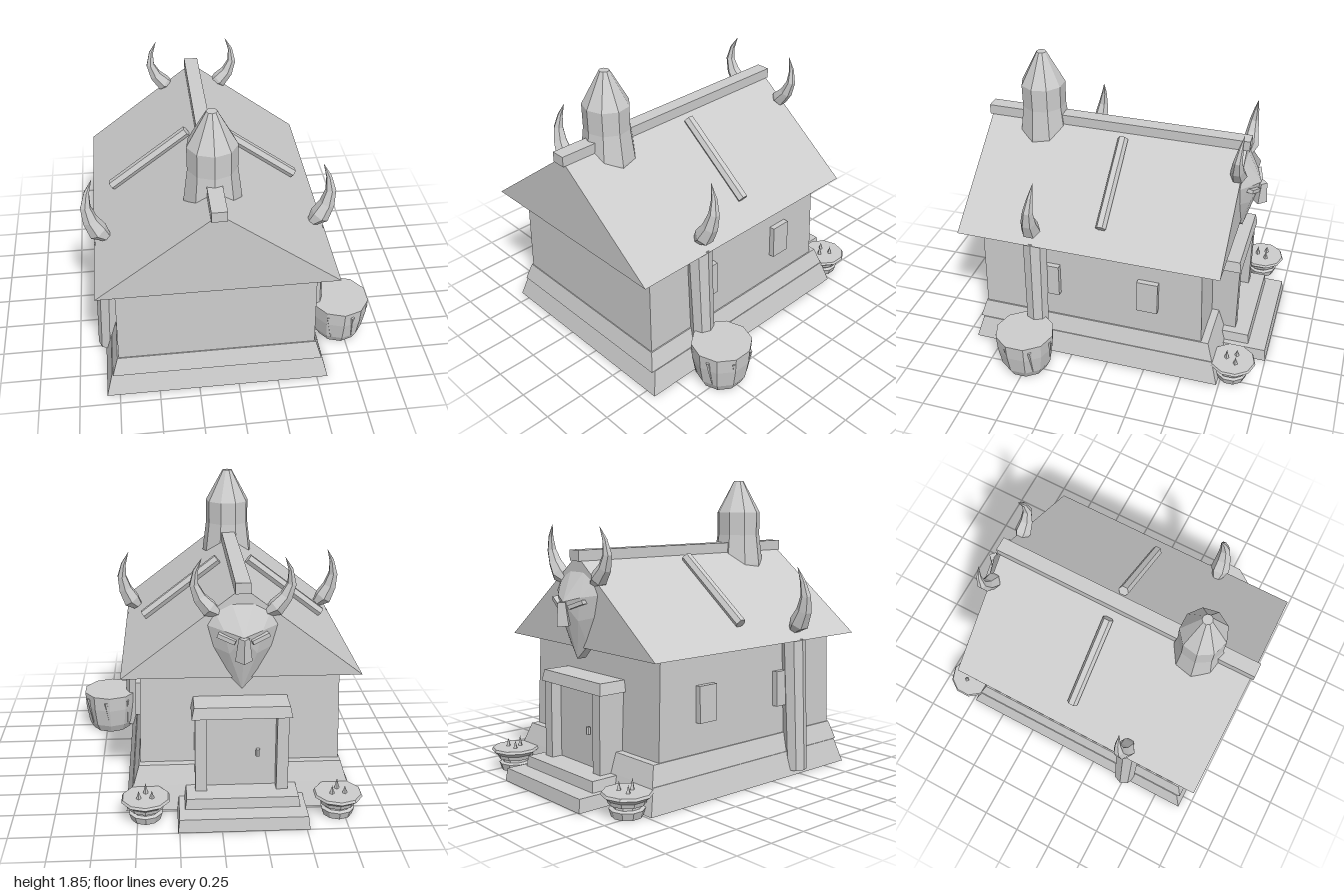
import * as THREE from 'three';
import { ConvexGeometry } from 'three/addons/geometries/ConvexGeometry.js';

// Double-sided because the base and the steps are hollow underneath
const stone = new THREE.MeshStandardMaterial({ color: 0xcccccc, flatShading: true, side: THREE.DoubleSide });
stone.name = 'plain grey';

const V = (x, y, z) => new THREE.Vector3(x, y, z);

export function createModel() {
  const model = new THREE.Group();
  model.name = 'hut';
  const hut = new THREE.Group(); // local x = 0 is the ridge line
  hut.name = 'hutParts';
  hut.position.x = -0.13;
  model.add(hut);

  function add(name, geometry, x = 0, y = 0, z = 0, parent = hut) {
    const mesh = new THREE.Mesh(geometry, stone);
    mesh.name = name;
    mesh.position.set(x, y, z);
    parent.add(mesh);
    return mesh;
  }

  // Box given by its bounds
  function block(name, x0, x1, y0, y1, z0, z1) {
    return add(name, new THREE.BoxGeometry(x1 - x0, y1 - y0, z1 - z0),
      (x0 + x1) / 2, (y0 + y1) / 2, (z0 + z1) / 2);
  }

  // Box whose bottom and top rectangles differ: [halfWidth, back, front]
  function frustum(name, y0, y1, bottom, top, hollow = false) {
    const g = new THREE.BoxGeometry(2, 1, 1);
    const p = g.attributes.position;
    for (let i = 0; i < p.count; i++) {
      const up = p.getY(i) > 0;
      const [w, back, front] = up ? top : bottom;
      p.setXYZ(i, p.getX(i) * w, up ? y1 : y0, p.getZ(i) > 0 ? front : back);
    }
    if (hollow) { // leave out the bottom face
      const index = Array.from(g.index.array);
      index.splice(18, 6);
      g.setIndex(index);
      g.clearGroups();
    }
    g.computeVertexNormals();
    return add(name, g);
  }

  // Cylinder running between two points
  function rod(name, a, b, ra, rb, sides, parent = hut) {
    const d = b.clone().sub(a);
    const m = add(name, new THREE.CylinderGeometry(rb, ra, d.length(), sides), 0, 0, 0, parent);
    m.position.copy(a).add(b).multiplyScalar(0.5);
    m.quaternion.setFromUnitVectors(V(0, 1, 0), d.normalize());
    return m;
  }

  function lathe(name, profile, sides, x, y, z, parent = hut) {
    return add(name, new THREE.LatheGeometry(profile.map(q => new THREE.Vector2(...q)), sides), x, y, z, parent);
  }

  // Curved horn: a tube whose radius swells near the root and ends in a point
  function horn(name, points, radius) {
    const curve = new THREE.CatmullRomCurve3(points);
    const n = 5, sides = 6;
    const g = new THREE.TubeGeometry(curve, n, radius, sides);
    const p = g.attributes.position;
    const v = new THREE.Vector3();
    for (let i = 0; i < p.count; i++) {
      const t = Math.floor(i / (sides + 1)) / n;
      const c = curve.getPointAt(t);
      const k = t === 0 ? 0.3 : Math.max(0.01, 1.2 * (1 - t) ** 0.9);
      v.fromBufferAttribute(p, i).sub(c).multiplyScalar(k).add(c);
      p.setXYZ(i, v.x, v.y, v.z);
    }
    g.computeVertexNormals();
    return add(name, g);
  }

  // Stepped base, hollow below, and leaning walls
  frustum('lowerBase', 0, 0.15, [0.7, -0.735, 0.933], [0.66, -0.69, 0.89], true);
  frustum('upperBase', 0.15, 0.265, [0.655, -0.69, 0.911], [0.62, -0.652, 0.876]);
  frustum('walls', 0.265, 0.865, [0.612, -0.605, 0.87], [0.6, -0.585, 0.857]);

  // Solid gabled roof with ridge beam
  const gable = new THREE.Shape([[-0.712, 0.862], [0.712, 0.862], [0, 1.41]].map(q => new THREE.Vector2(...q)));
  add('roof', new THREE.ExtrudeGeometry(gable, { depth: 1.7, bevelEnabled: false }), 0, 0, -0.717);
  block('ridgeBeam', -0.045, 0.045, 1.375, 1.44, -0.735, 1);

  // Chimney
  const chimney = lathe('chimney', [[0.174, 1.2], [0.171, 1.3], [0.147, 1.49], [0.148, 1.64], [0.032, 1.85], [0, 1.85]], 9, 0, 0, 0.632);
  chimney.scale.z = 0.96;

  for (const s of [-1, 1]) {
    // Roof batten, leaning side post, roof horn
    rod('roofBatten', V(s * 0.585, 0.993, 0.066), V(s * 0.1, 1.367, 0.066), 0.034, 0.034, 6);
    rod('sidePost', V(s * 0.675, 0.03, 0.49), V(s * 0.63, 0.865, 0.49), 0.072, 0.08, 8);
    horn('roofHorn', [V(s * 0.61, 0.9, 0.495), V(s * 0.68, 0.97, 0.49), V(s * 0.735, 1.1, 0.48),
      V(s * 0.735, 1.2, 0.465), V(s * 0.69, 1.32, 0.45)], 0.064);

    // Side windows
    for (const z of [0.405, -0.25]) {
      const w = add('sideWindow', new THREE.BoxGeometry(0.06, 0.22, 0.135), s * 0.612, 0.56, z);
      w.rotation.z = s * 0.025;
    }

    // Door jambs
    block('doorJamb', s * 0.245 - 0.035, s * 0.245 + 0.035, 0.1, 0.64, -0.77, -0.58);

    // Mask horns and brows
    horn('maskHorn', [V(s * 0.12, 1.24, -0.7), V(s * 0.2, 1.29, -0.7), V(s * 0.27, 1.39, -0.7),
      V(s * 0.278, 1.48, -0.71), V(s * 0.235, 1.585, -0.725)], 0.055);
    const brow = add('maskBrow', new THREE.BoxGeometry(0.11, 0.025, 0.045), s * 0.095, 1.13, -0.785);
    brow.rotation.set(0, s * -0.3, s * 0.35);

    // Offering bowl with three spikes
    const bowl = new THREE.Group();
    bowl.name = 'offeringBowl';
    bowl.position.set(s * 0.58, 0, -0.81);
    hut.add(bowl);
    lathe('bowlBody', [[0, 0], [0.09, 0], [0.104, 0.045], [0.082, 0.053], [0.082, 0.068], [0.108, 0.075],
      [0.115, 0.1], [0.15, 0.127], [0.142, 0.142], [0, 0.142]], 10, 0, 0, 0, bowl);
    for (const [x, z, h] of [[-0.038, -0.022, 0.05], [0.04, -0.026, 0.055], [0, 0.038, 0.07]]) {
      add('bowlSpike', new THREE.ConeGeometry(0.016, h, 4), x, 0.14 + h / 2, z, bowl);
    }
  }

  // Doorway: door, knob, bevelled lintel, hollow steps
  block('door', -0.22, 0.22, 0.1, 0.63, -0.7, -0.58);
  add('doorKnob', new THREE.CylinderGeometry(0.014, 0.014, 0.045, 6), -0.1, 0.37, -0.72);
  frustum('lintel', 0.62, 0.69, [0.3, -0.78, -0.57], [0.285, -0.767, -0.57]);
  frustum('lowerStep', 0, 0.08, [0.39, -1, -0.69], [0.38, -0.99, -0.69], true);
  frustum('upperStep', 0.08, 0.145, [0.345, -0.873, -0.6], [0.335, -0.866, -0.6], true);

  // Mask: faceted pointed shield with a central ridge and sloping forehead
  const outline = [[0, 0.79], [0.09, 0.88], [0.19, 1.06], [0.225, 1.19], [0.17, 1.28], [0.07, 1.33]];
  const pts = [V(0, 0.79, -0.72), V(0, 1.14, -0.82)];
  for (const s of [-1, 1]) {
    for (const [x, y] of outline) pts.push(V(s * x, y, -0.66), V(s * x * 0.98, y, -0.705));
    pts.push(V(s * 0.11, 1.17, -0.778), V(s * 0.08, 1.03, -0.77));
  }
  add('mask', new ConvexGeometry(pts));
  rod('maskNose', V(0, 1.0, -0.815), V(0, 1.14, -0.825), 0.05, 0.032, 4);

  // Barrel-like pot with thin claws on its side
  const pot = new THREE.Group();
  pot.name = 'pot';
  pot.position.set(0.85, 0, 0.508);
  hut.add(pot);
  lathe('potBody', [[0, 0], [0.135, 0], [0.163, 0.055], [0.184, 0.18], [0.19, 0.28], [0, 0.28]], 10, 0, 0, 0, pot);
  for (let i = 0; i < 7; i++) {
    const a = 0.3 + i * Math.PI * 2 / 7;
    const b = a + 0.12;
    rod('potClaw', V(Math.sin(a) * 0.18, 0.245, Math.cos(a) * 0.18),
      V(Math.sin(b) * 0.158, 0.06, Math.cos(b) * 0.158), 0.013, 0.003, 5, pot);
  }

  return model;
}
